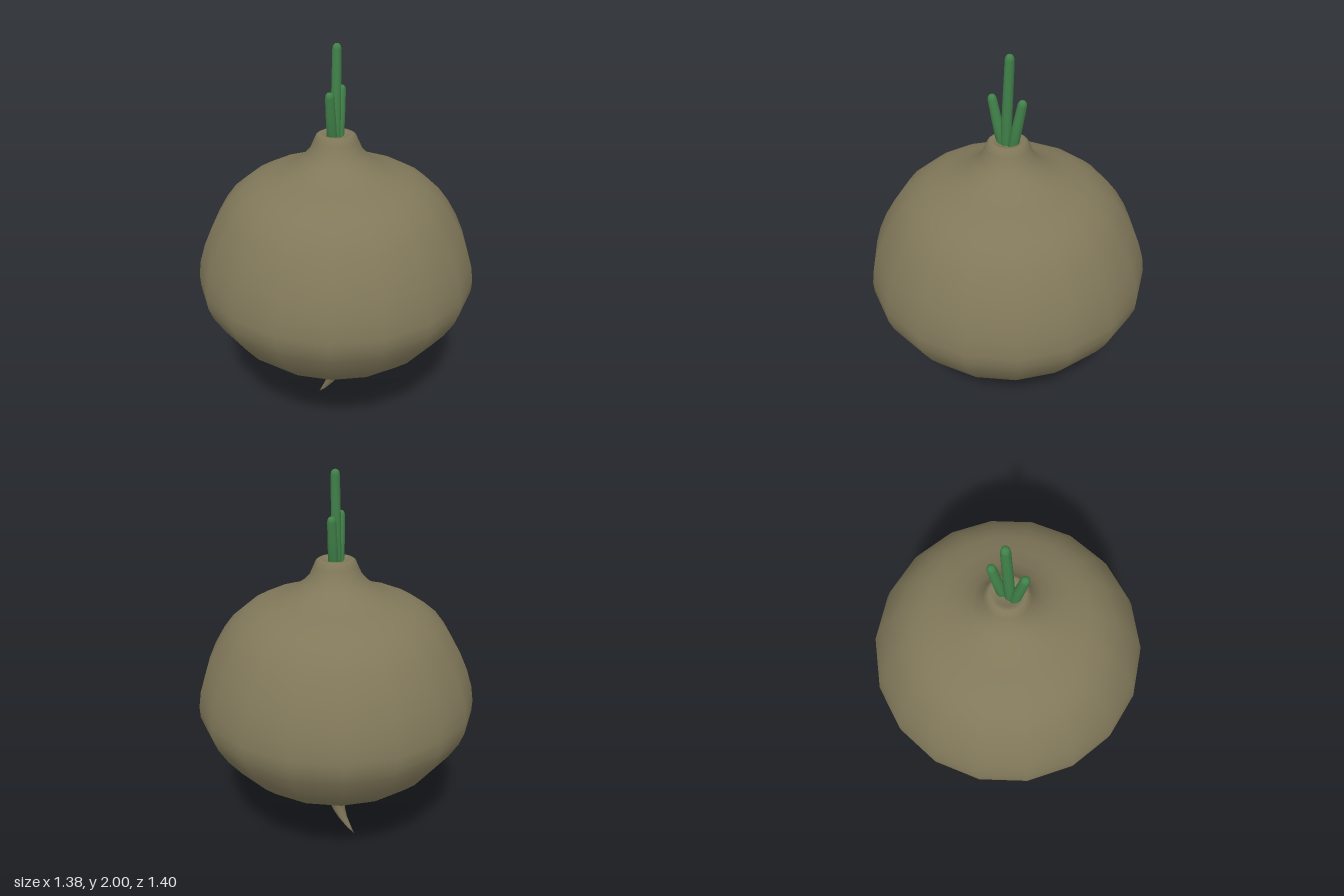
import * as THREE from 'three';
import { mergeVertices } from 'three/addons/utils/BufferGeometryUtils.js';

// Lathe with welded, smooth normals and an optional rule that moves vertices
function smoothLathe(profile, sides, phi = 0, move = null) {
  let geo = new THREE.LatheGeometry(profile.map(([r, y]) => new THREE.Vector2(r, y)), sides, phi);
  geo.deleteAttribute('uv');
  geo.deleteAttribute('normal');
  geo = mergeVertices(geo, 1e-5);
  if (move) {
    const pos = geo.attributes.position;
    const v = new THREE.Vector3();
    for (let i = 0; i < pos.count; i++) {
      move(v.fromBufferAttribute(pos, i));
      pos.setXYZ(i, v.x, v.y, v.z);
    }
  }
  geo.computeVertexNormals();
  return geo;
}

export function createModel() {
  const group = new THREE.Group();
  const skin = new THREE.MeshStandardMaterial({ name: 'earthy brown skin', color: 0x81785a });
  const green = new THREE.MeshStandardMaterial({ name: 'stalk green', color: 0x41824a });

  // Bulb, neck and root tip in one profile; the root curls below y = 0.25
  const profile = [
    [0, 0], [0.012, 0.04], [0.024, 0.1], [0.034, 0.15], [0.045, 0.205], [0.06, 0.235],
    [0.095, 0.265], [0.18, 0.315], [0.35, 0.41], [0.49, 0.5], [0.56, 0.565], [0.625, 0.65],
    [0.675, 0.735], [0.698, 0.8], [0.7, 0.86], [0.688, 0.94], [0.66, 1.03], [0.62, 1.12],
    [0.57, 1.205], [0.52, 1.27], [0.46, 1.32], [0.395, 1.357], [0.31, 1.385], [0.23, 1.415],
    [0.165, 1.46], [0.128, 1.5], [0.108, 1.545], [0.096, 1.572], [0.082, 1.58],
    [0.062, 1.578], [0.045, 1.562], [0, 1.556],
  ];
  const curl = (v) => {
    const t = Math.max(0, (0.25 - v.y) / 0.25);
    v.x -= 0.1 * t * t;
    v.z -= 0.05 * Math.pow(t, 1.4);
  };
  const bulb = new THREE.Mesh(smoothLathe(profile, 18, -0.014, curl), skin);
  bulb.name = 'bulb';
  group.add(bulb);

  // Round-ended stalks, each running from a base in the neck to its tip
  const up = new THREE.Vector3(0, 1, 0);
  const addStalk = (name, base, tip, r) => {
    const from = new THREE.Vector3(...base);
    const dir = new THREE.Vector3(...tip).sub(from);
    const h = dir.length();
    const outline = [[0, 0], [r * 1.15, 0], [r * 1.1, h * 0.5], [r, h - r * 1.2],
      [r * 0.85, h - r * 0.5], [r * 0.5, h - r * 0.1], [0, h]];
    const stalk = new THREE.Mesh(smoothLathe(outline, 10), green);
    stalk.name = name;
    stalk.position.copy(from);
    stalk.quaternion.setFromUnitVectors(up, dir.normalize());
    group.add(stalk);
  };
  addStalk('middleStalk', [-0.003, 1.55, 0.01], [0.004, 2, -0.01], 0.022);
  addStalk('frontStalk', [-0.018, 1.55, 0.03], [-0.028, 1.795, 0.077], 0.022);
  addStalk('backStalk', [0.014, 1.55, -0.025], [0.025, 1.795, -0.072], 0.022);

  return group;
}
